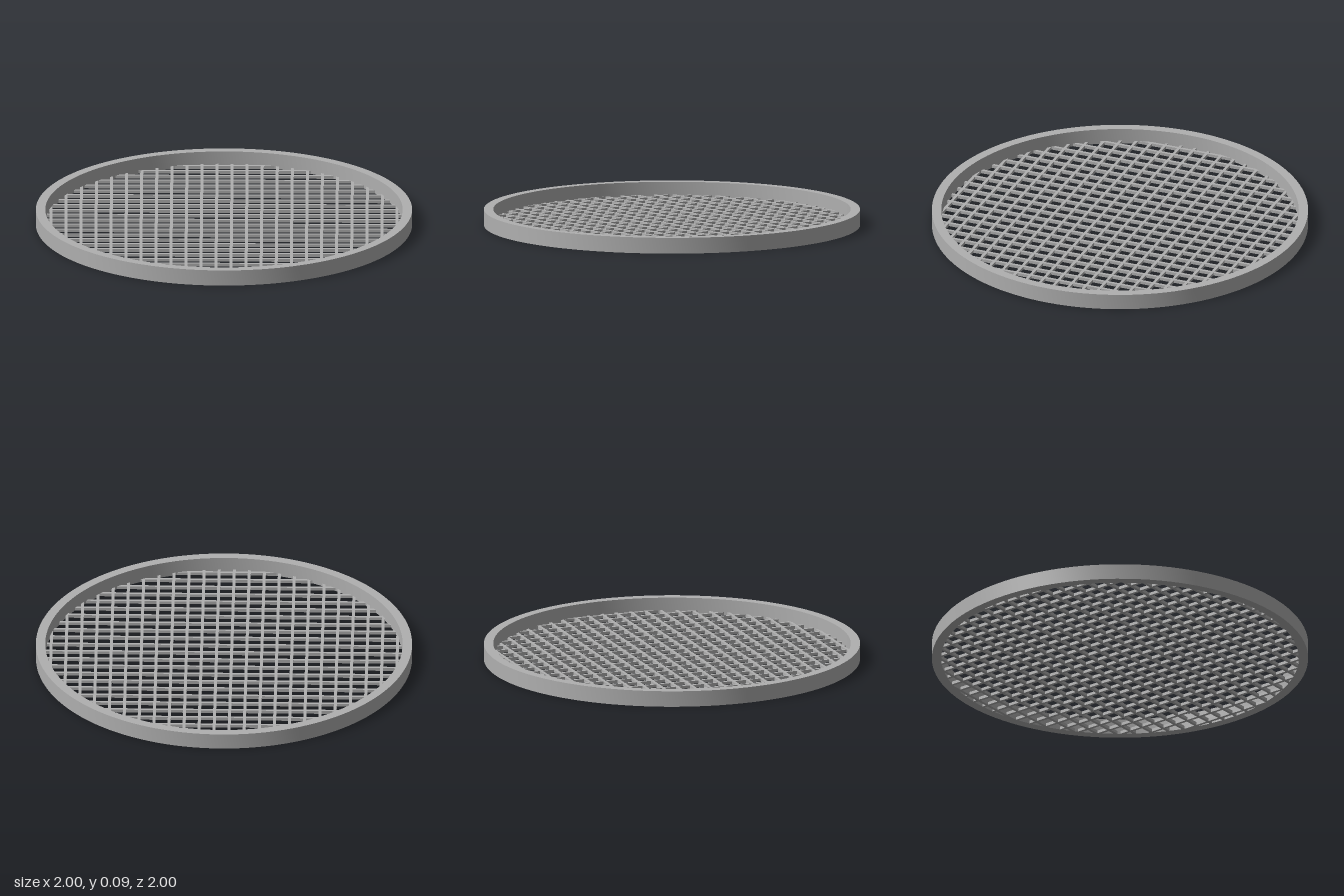
import * as THREE from 'three';
import { toCreasedNormals } from 'three/addons/utils/BufferGeometryUtils.js';

const OUTER = 1, INNER = 0.95, HEIGHT = 0.085;
const WIRE = 0.016, PITCH = 0.08, WIRES = 24;

export function createModel() {
  const model = new THREE.Group();
  model.name = 'roundSieve';
  const steel = new THREE.MeshStandardMaterial({ color: 0xb0b0b0 });
  steel.name = 'grey steel';

  // Rim: rectangular section turned around the vertical axis
  const section = [[INNER, 0], [OUTER, 0], [OUTER, HEIGHT], [INNER, HEIGHT], [INNER, 0]]
    .map(([r, y]) => new THREE.Vector2(r, y));
  const rim = new THREE.Mesh(toCreasedNormals(new THREE.LatheGeometry(section, 128), 0.6), steel);
  rim.name = 'rim';
  model.add(rim);

  // Mesh floor: square wires in both directions, with their ends sunk into the rim
  const lengthwise = new THREE.Group();
  lengthwise.name = 'lengthwiseWires';
  const crosswise = new THREE.Group();
  crosswise.name = 'crosswiseWires';
  const reach = (OUTER + INNER) / 2;
  for (let i = 0; i < WIRES; i++) {
    const p = (i - (WIRES - 1) / 2) * PITCH;
    const length = 2 * Math.sqrt(reach * reach - p * p);
    const geometry = new THREE.BoxGeometry(WIRE, WIRE, length);

    const along = new THREE.Mesh(geometry, steel);
    along.name = 'lengthwiseWire';
    along.position.set(p, WIRE / 2, 0);
    lengthwise.add(along);

    const across = new THREE.Mesh(geometry, steel);
    across.name = 'crosswiseWire';
    across.rotation.y = Math.PI / 2;
    across.position.set(0, WIRE / 2, p);
    crosswise.add(across);
  }
  model.add(lengthwise, crosswise);
  return model;
}
